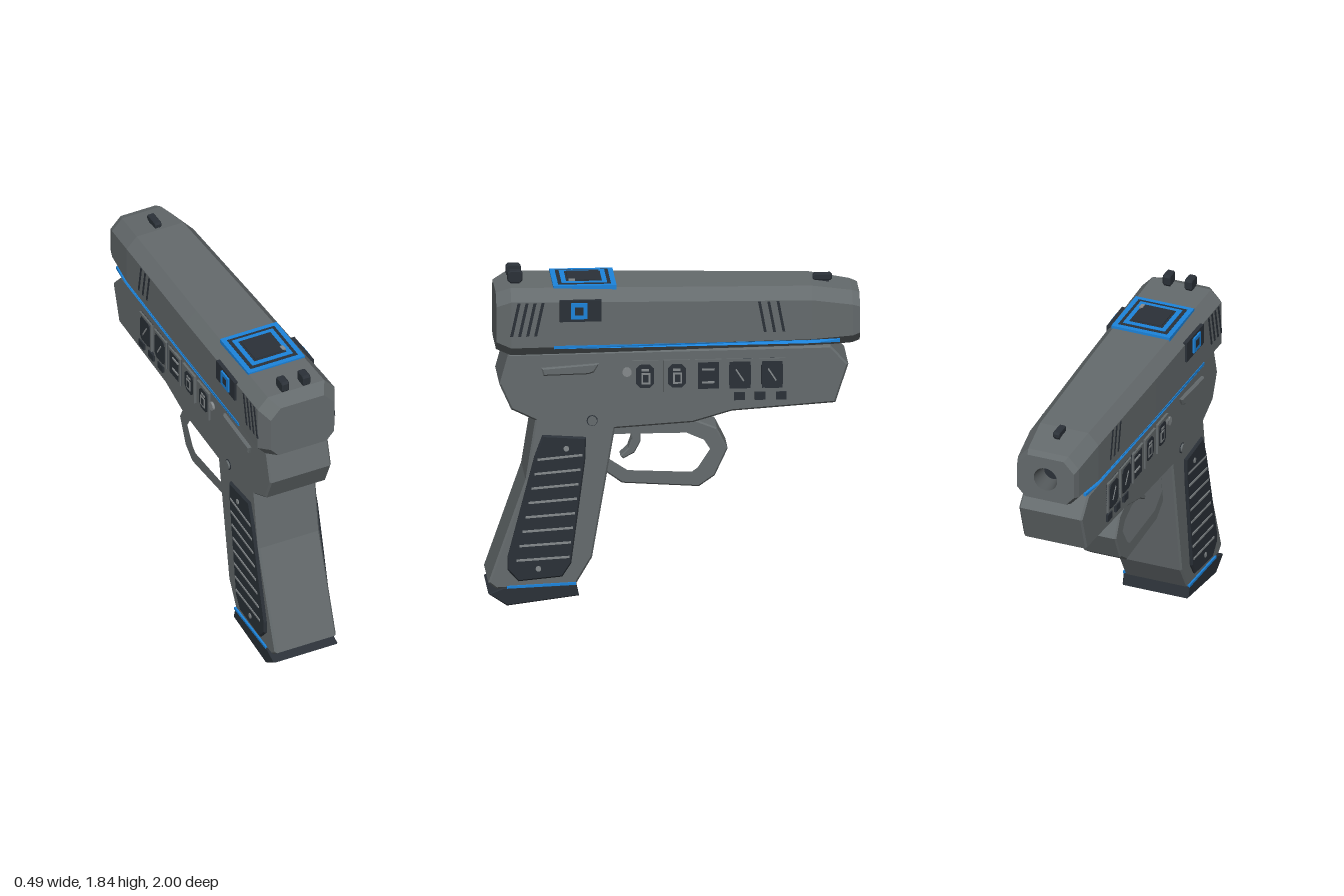
import * as THREE from 'three';

const mat = (name, color, side = THREE.FrontSide) => {
  const m = new THREE.MeshStandardMaterial({ color, side });
  m.name = name;
  return m;
};

export function createModel() {
  const model = new THREE.Group();
  const body = mat('body grey', 0x656b6d);
  const dark = mat('dark trim', 0x2b3138);
  const light = mat('light grey', 0x858a8c);
  const blue = mat('blue accent', 0x1c84dc);
  const bore = mat('bore grey', 0x53585a, THREE.DoubleSide);

  const add = (name, geo, material) => {
    const m = new THREE.Mesh(geo, material);
    m.name = name;
    model.add(m);
    return m;
  };
  const box = (name, material, w, h, d, x, y, z) =>
    add(name, new THREE.BoxGeometry(w, h, d).translate(x, y, z), material);

  // Side profile given as [z, y] points, extruded across x from x0 to x1
  const toPath = (pts, Type) => new Type(pts.map(([z, y]) => new THREE.Vector2(-z, y)));
  const profile = (pts, x0, x1, bevel = 0, hole = null) => {
    const shape = toPath(pts, THREE.Shape);
    if (hole) shape.holes.push(toPath(hole, THREE.Path));
    const geo = new THREE.ExtrudeGeometry(shape, {
      depth: x1 - x0 - 2 * bevel, bevelEnabled: bevel > 0, bevelSize: bevel,
      bevelThickness: bevel, bevelOffset: -bevel, bevelSegments: 1,
    });
    return geo.translate(0, 0, x0 + bevel).rotateY(Math.PI / 2);
  };
  // Rectangle with cut corners, centred on z, y
  const rect = (z, y, w, h, c = 0) => {
    const a = w / 2, b = h / 2;
    if (!c) return [[z - a, y - b], [z + a, y - b], [z + a, y + b], [z - a, y + b]];
    return [[z - a + c, y - b], [z + a - c, y - b], [z + a, y - b + c], [z + a, y + b - c],
      [z + a - c, y + b], [z - a + c, y + b], [z - a, y + b - c], [z - a, y - b + c]];
  };
  // Same plate on both sides
  const both = (name, material, pts, x0, x1, bevel = 0, hole = null) => {
    add(name + 'Left', profile(pts, x0, x1, bevel, hole), material);
    add(name + 'Right', profile(pts, -x1, -x0, bevel, hole), material);
  };
  const studs = (name, material, z, y, r, x0, x1) => {
    for (const s of [-1, 1]) {
      add(name, new THREE.CylinderGeometry(r, r, x1 - x0, 16).rotateZ(Math.PI / 2)
        .translate(s * (x0 + x1) / 2, y, z), material);
    }
  };

  // Slide: octagonal sections from rear to muzzle [z, half width, bottom, top]
  const sections = [
    [0.957, 0.19, 1.43, 1.74], [0.88, 0.23, 1.405, 1.776], [0, 0.217, 1.412, 1.762],
    [-0.74, 0.2, 1.418, 1.75], [-0.96, 0.177, 1.428, 1.715], [-1, 0.165, 1.44, 1.7],
  ];
  const ring = ([, w, b, t]) => [
    [w, b + 0.05], [w, t - 0.065], [w - 0.06, t], [-w + 0.06, t],
    [-w, t - 0.065], [-w, b + 0.05], [-w + 0.045, b], [w - 0.045, b],
  ];
  const pos = [];
  for (let k = 0; k < sections.length - 1; k++) {
    const A = ring(sections[k]), B = ring(sections[k + 1]);
    for (let i = 0; i < 8; i++) {
      const j = (i + 1) % 8, za = sections[k][0], zb = sections[k + 1][0];
      const a = [...A[i], za], b = [...A[j], za], c = [...B[i], zb], d = [...B[j], zb];
      pos.push(...a, ...c, ...b, ...b, ...c, ...d);
    }
  }
  const slide = new THREE.BufferGeometry();
  slide.setAttribute('position', new THREE.Float32BufferAttribute(pos, 3));
  slide.computeVertexNormals();
  add('slide', slide, body);
  const capShape = (s) => new THREE.Shape(ring(s).map(([x, y]) => new THREE.Vector2(x, y)));
  add('slideRear', new THREE.ShapeGeometry(capShape(sections[0])).translate(0, 0, 0.957), body);
  const front = capShape(sections[5]);
  front.holes.push(new THREE.Path().absarc(0, 1.57, 0.068, 0, Math.PI * 2, true));
  add('slideFront', new THREE.ShapeGeometry(front, 12).rotateY(Math.PI).translate(0, 0, -1), body);
  add('muzzleBore', new THREE.CylinderGeometry(0.068, 0.05, 0.1, 24, 1, true)
    .rotateX(-Math.PI / 2).translate(0, 1.57, -0.95), bore);
  add('boreEnd', new THREE.CircleGeometry(0.06, 24).rotateY(Math.PI).translate(0, 1.57, -0.9), dark);

  // Slide side details follow the taper of the slide
  const halfWidth = (z) => {
    let k = 1;
    while (k < 4 && z < sections[k + 1][0]) k++;
    const [za, wa] = sections[k], [zb, wb] = sections[k + 1];
    return wa + (wb - wa) * (z - za) / (zb - za);
  };
  const hug = (name, material, pts, thick, hole = null) => {
    for (const s of [-1, 1]) {
      const geo = profile(pts, s > 0 ? -0.01 : -thick, s > 0 ? thick : 0.01, 0, hole);
      const p = geo.attributes.position;
      for (let i = 0; i < p.count; i++) p.setX(i, p.getX(i) + s * halfWidth(p.getZ(i)));
      geo.computeVertexNormals();
      add(name, geo, material);
    }
  };
  for (let i = 0; i < 4; i++) {
    const z = 0.85 - i * 0.043;
    hug('rearSerration', dark, [[z + 0.036, 1.52], [z + 0.02, 1.52], [z - 0.02, 1.705], [z - 0.004, 1.705]], 0.003);
  }
  for (let i = 0; i < 3; i++) {
    const z = -0.46 - i * 0.05;
    hug('frontSerration', dark, [[z - 0.035, 1.515], [z - 0.02, 1.515], [z + 0.012, 1.685], [z - 0.003, 1.685]], 0.003);
  }
  const zs = [0.65, 0, -0.74, -0.89];
  hug('sideStripe', blue, [...zs.map((z) => [z, 1.447]), ...zs.slice().reverse().map((z) => [z, 1.464])], 0.004);
  hug('sideDisplay', dark, rect(0.507, 1.658, 0.225, 0.118), 0.012);
  hug('sideDisplayRing', blue, rect(0.515, 1.66, 0.088, 0.088), 0.022, rect(0.515, 1.66, 0.046, 0.046));

  // Top display: nested square frames
  const squares = [
    [blue, 0.34, 1.782], [dark, 0.284, 1.784], [blue, 0.245, 1.787], [dark, 0.192, 1.789], [dark, 0.172, 1.793],
  ];
  squares.forEach(([m, size, top], i) =>
    box('topDisplay' + i, m, size, top - 1.755, size, 0, top / 2 + 1.755 / 2, 0.48));
  box('topDisplayLamp', light, 0.02, 0.008, 0.035, 0.09, 1.793, 0.545);

  // Sights
  for (const x of [-0.065, 0.062]) {
    add('rearSight', profile(rect(0.85, 1.812, 0.08, 0.066, 0.012), x - 0.022, x + 0.022, 0.006), dark);
    box('rearSightFoot', dark, 0.034, 0.03, 0.05, x, 1.775, 0.85);
  }
  add('frontSight', profile(rect(-0.807, 1.762, 0.104, 0.038, 0.01), -0.019, 0.019, 0.005), dark);
  box('frontSightFoot', dark, 0.028, 0.03, 0.07, 0, 1.74, -0.807);

  // Frame and grip
  add('frame', profile([
    [0.893, 1.41], [0.94, 1.24], [0.877, 1.1], [0.748, 1.037], [0.8, 0.706], [1.0, 0.134], [0.957, 0.1],
    [0.53, 0.118], [0.442, 0.267], [0.319, 0.984], [-0.1, 1.01], [-0.31, 1.07], [-0.866, 1.107],
    [-0.936, 1.32], [-0.84, 1.425],
  ], -0.184, 0.184, 0.01), body);

  // Base plate
  add('basePlate', profile([[1.0, 0.075], [0.9, 0.008], [0.512, 0.058], [0.53, 0.122], [0.92, 0.108]],
    -0.192, 0.192, 0.006), dark);
  both('baseStripe', blue, [[0.9, 0.104], [0.9, 0.117], [0.53, 0.133], [0.53, 0.119]], 0.18, 0.195);

  // Trigger guard and trigger
  add('triggerGuard', profile([
    [0.37, 1.0], [-0.1, 1.01], [-0.233, 0.957], [-0.292, 0.84], [-0.222, 0.69], [-0.137, 0.631],
    [0.276, 0.658], [0.39, 0.74],
  ], -0.11, 0.11, 0.008, [
    [0.335, 0.941], [-0.072, 0.941], [-0.169, 0.898], [-0.206, 0.84], [-0.137, 0.733], [-0.1, 0.706],
    [0.25, 0.722], [0.355, 0.791],
  ]), body);
  add('trigger', profile([
    [0.228, 0.96], [0.17, 0.96], [0.174, 0.866], [0.206, 0.807], [0.265, 0.775], [0.281, 0.791],
    [0.238, 0.834], [0.222, 0.882],
  ], -0.045, 0.045, 0.006), body);

  // Grip panels with ridges and screws
  both('gripPanel', dark, [
    [0.71, 0.957], [0.475, 0.941], [0.48, 0.81], [0.555, 0.24], [0.603, 0.166], [0.84, 0.144],
    [0.898, 0.209], [0.898, 0.278], [0.753, 0.84],
  ], 0.17, 0.2, 0.008);
  for (let i = 0; i < 8; i++) {
    const t = i / 7, za = 0.737 + 0.113 * t, zb = 0.496 + 0.07 * t;
    const ya = 0.823 - 0.561 * t, yb = 0.845 - 0.567 * t;
    both('gripRidge', light, [[za, ya - 0.006], [zb, yb - 0.006], [zb, yb + 0.006], [za, ya + 0.006]], 0.19, 0.204);
  }
  studs('gripScrew', light, 0.582, 0.882, 0.015, 0.19, 0.204);
  studs('gripScrew', light, 0.732, 0.214, 0.015, 0.19, 0.204);

  // Lever and pins
  both('lever', body, [[0.716, 1.332], [0.405, 1.353], [0.432, 1.305], [0.464, 1.294], [0.705, 1.289]], 0.175, 0.203, 0.008);
  studs('framePin', light, 0.255, 1.3, 0.025, 0.175, 0.197);
  studs('gripPinRim', dark, 0.442, 1.032, 0.03, 0.175, 0.187);
  studs('gripPin', body, 0.442, 1.032, 0.025, 0.175, 0.197);

  // Row of five selector windows
  const y = 1.275;
  [0.158, -0.013, -0.182, -0.351, -0.525].forEach((z, i) => {
    both('windowBack', i < 2 ? body : dark, rect(z, y, 0.142, 0.178), 0.175, 0.187);
    both('windowRim', body, rect(z, y, 0.142, 0.178), 0.18, 0.197, 0, rect(z, y, 0.112, 0.148));
    if (i < 2) {
      both('windowSymbol', dark, rect(z, y, 0.096, 0.128, 0.022), 0.18, 0.194);
      both('windowSymbolInner', light, rect(z - 0.004, y - 0.012, 0.048, 0.062), 0.185, 0.197, 0,
        rect(z - 0.004, y - 0.012, 0.03, 0.042));
      both('windowSymbolBar', light, rect(z, y + 0.035, 0.04, 0.012), 0.185, 0.197);
    } else if (i === 2) {
      for (const d of [-0.04, 0.032]) both('windowBar', light, rect(z, y + d, 0.066, 0.01), 0.18, 0.193);
    } else {
      both('windowCover', dark, rect(z, y, 0.118, 0.15, 0.022), 0.18, 0.2);
      both('windowSlash', light, [[z + 0.024, y + 0.03], [z + 0.018, y + 0.036], [z - 0.024, y - 0.03], [z - 0.018, y - 0.036]],
        0.19, 0.203);
    }
  });
  for (const z of [-0.349, -0.461, -0.574]) both('smallButton', dark, rect(z, 1.155, 0.058, 0.042), 0.175, 0.197);

  return model;
}
